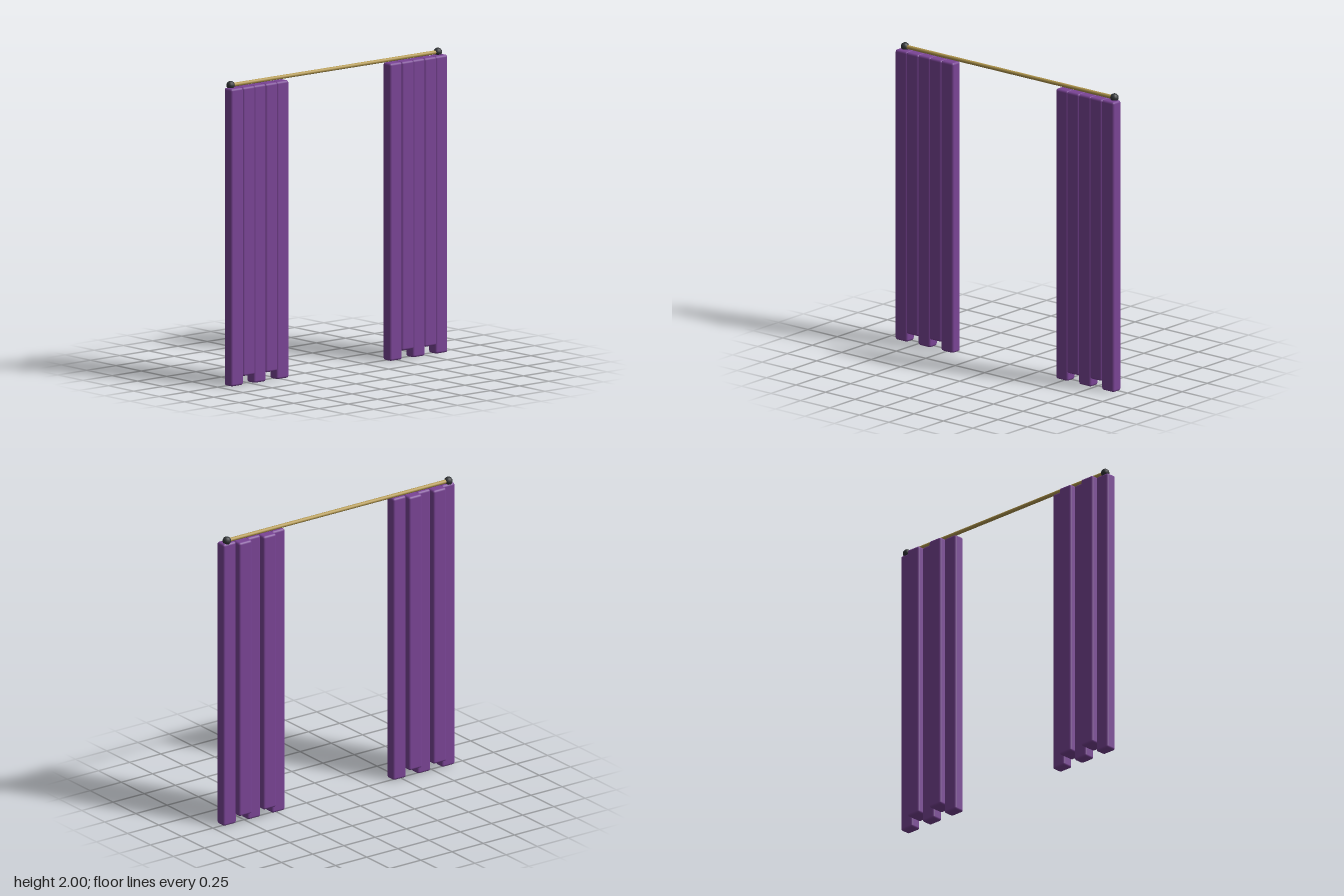
import * as THREE from 'three';
import { RoundedBoxGeometry } from 'three/addons/geometries/RoundedBoxGeometry.js';

const TOP = 1.957, ROD_Y = 1.972, PLEAT_W = 0.104, PITCH = 0.0975;

export function createModel() {
  const model = new THREE.Group();
  model.name = 'curtains';
  const cloth = new THREE.MeshStandardMaterial({ color: 0x7a4496 });
  const brass = new THREE.MeshStandardMaterial({ color: 0xb59a50 });
  const dark = new THREE.MeshStandardMaterial({ color: 0x333638 });

  // One vertical pleat between two heights and two depths
  const pleat = (name, x, bottom, back, front) => {
    const geometry = new RoundedBoxGeometry(PLEAT_W, TOP - bottom, front - back, 2, 0.015);
    const mesh = new THREE.Mesh(geometry, cloth);
    mesh.name = name;
    mesh.position.set(x, (TOP + bottom) / 2, (front + back) / 2);
    return mesh;
  };

  for (const side of [-1, 1]) {
    // Curtain: long thin pleats alternating with short deep ones
    const curtain = new THREE.Group();
    curtain.name = side > 0 ? 'leftCurtain' : 'rightCurtain';
    for (let i = 0; i < 5; i++) {
      const x = side * (0.876 - i * PITCH);
      curtain.add(i % 2
        ? pleat('shortPleat', x, 0.057, -0.061, 0.059)
        : pleat('longPleat', x, 0, -0.021, 0.056));
    }
    model.add(curtain);

    // Round end of the rod
    const finial = new THREE.Mesh(new THREE.SphereGeometry(0.028, 12, 8), dark);
    finial.name = side > 0 ? 'leftFinial' : 'rightFinial';
    finial.position.set(side * 0.888, ROD_Y, 0);
    model.add(finial);
  }

  // Rod across the top
  const rod = new THREE.Mesh(new THREE.CylinderGeometry(0.013, 0.013, 1.776, 12), brass);
  rod.name = 'rod';
  rod.rotation.z = Math.PI / 2;
  rod.position.y = ROD_Y;
  model.add(rod);

  return model;
}
